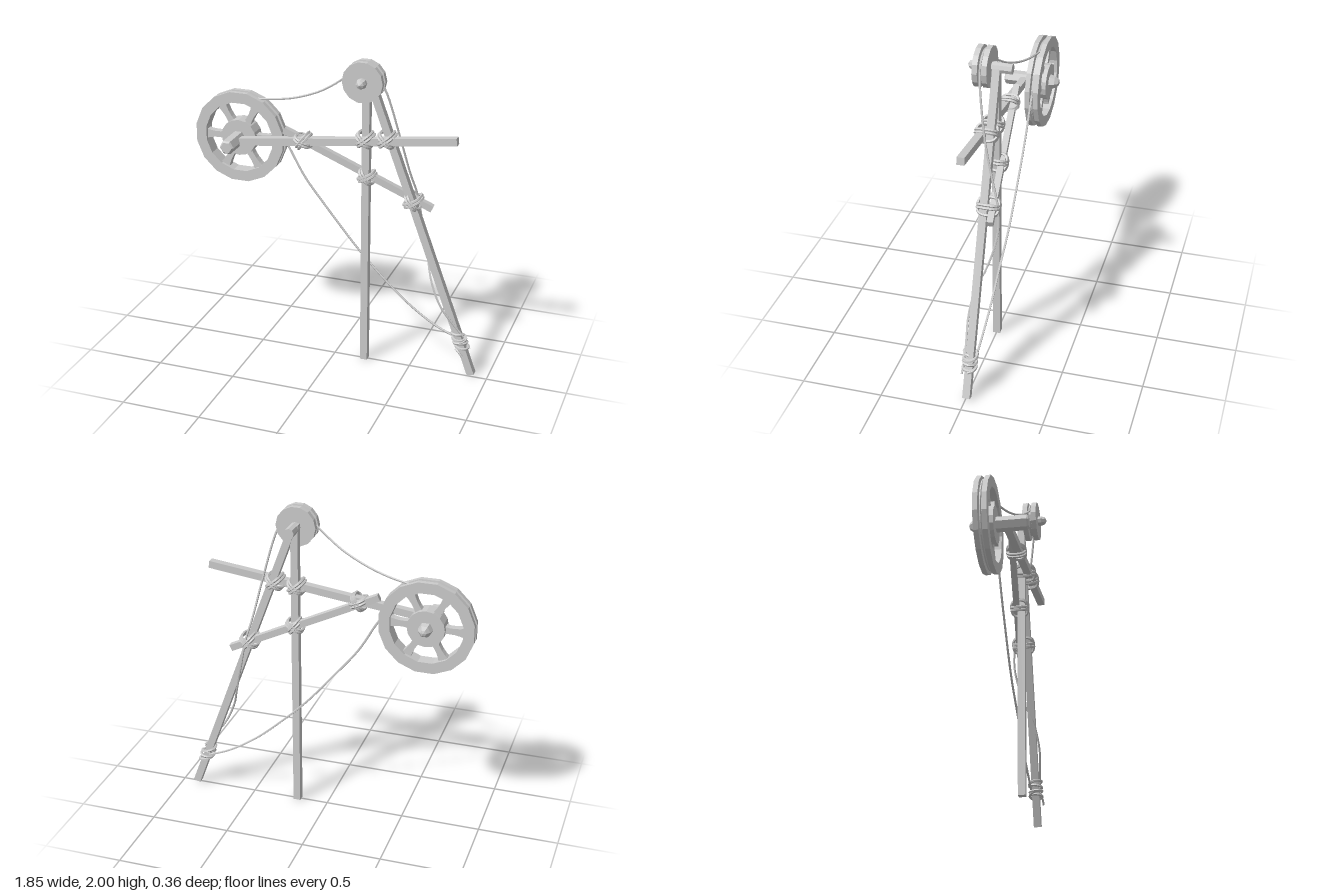
import * as THREE from 'three';

const V = (x, y, z) => new THREE.Vector3(x, y, z);

export function createModel() {
  const model = new THREE.Group();
  const mat = new THREE.MeshStandardMaterial({ color: 0xcccccc, flatShading: true });

  const add = (name, geo, parent = model) => {
    const mesh = new THREE.Mesh(geo, mat);
    mesh.name = name;
    parent.add(mesh);
    return mesh;
  };

  // Square timber running between two points
  const beam = (name, a, b, w = 0.046, d = 0.046) => {
    const m = add(name, new THREE.BoxGeometry(w, d, a.distanceTo(b)));
    m.position.copy(a).add(b).multiplyScalar(0.5);
    m.lookAt(b);
    return m;
  };

  // Turned part around the z axis from [radius, z] pairs
  const turned = (name, profile, sides, parent, turn = 0) => {
    const geo = new THREE.LatheGeometry(profile.map(([r, z]) => new THREE.Vector2(r, z)), sides);
    return add(name, geo.rotateY(turn).rotateX(Math.PI / 2), parent);
  };

  const rope = (name, pts, r = 0.007, closed = false, steps = 40) =>
    add(name, new THREE.TubeGeometry(new THREE.CatmullRomCurve3(pts, closed), steps, r, 5, closed));

  // Timber frame
  beam('post', V(0.2, 0, 0), V(0.2, 1.9, 0));
  beam('leg', V(0.9, 0.016, -0.008), V(0.215, 1.87, -0.008));
  beam('crossArm', V(-0.6, 1.395, 0.044), V(0.77, 1.565, 0.044));
  beam('brace', V(-0.32, 1.495, 0.018), V(0.6, 1.07, -0.072), 0.038, 0.042);

  // Large spoked wheel with a grooved rim
  const wheel = new THREE.Group();
  wheel.name = 'largeWheel';
  wheel.position.set(-0.64, 1.39, 0);
  model.add(wheel);
  turned('rim', [
    [0.225, -0.108], [0.293, -0.108], [0.293, -0.078], [0.262, -0.074], [0.262, -0.058],
    [0.293, -0.054], [0.293, -0.024], [0.225, -0.024], [0.225, -0.108],
  ], 16, wheel, Math.PI / 16);
  turned('hub', [[0, -0.115], [0.115, -0.115], [0.115, -0.018], [0, -0.018]], 16, wheel);
  turned('wheelAxle', [
    [0, -0.18], [0.02, -0.174], [0.038, -0.15], [0.046, -0.12], [0.046, 0.165], [0.036, 0.176], [0, 0.176],
  ], 6, wheel, Math.PI / 6);
  const spokeShape = new THREE.Shape();
  spokeShape.moveTo(0.1, -0.024);
  spokeShape.quadraticCurveTo(0.17, -0.01, 0.235, -0.034);
  spokeShape.lineTo(0.235, 0.034);
  spokeShape.quadraticCurveTo(0.17, 0.01, 0.1, 0.024);
  const spokeGeo = new THREE.ExtrudeGeometry(spokeShape, { depth: 0.044, bevelEnabled: false, curveSegments: 4 })
    .translate(0, 0, -0.088);
  for (let i = 0; i < 6; i++) add('spoke', spokeGeo, wheel).rotation.z = 0.03 + (i * Math.PI) / 3;

  // Small grooved pulley at the top
  const pulley = new THREE.Group();
  pulley.name = 'pulley';
  pulley.position.set(0.205, 1.876, 0);
  model.add(pulley);
  turned('sheave', [
    [0, 0.022], [0.125, 0.022], [0.125, 0.054], [0.095, 0.058], [0.095, 0.074],
    [0.125, 0.078], [0.125, 0.11], [0, 0.11],
  ], 14, pulley, Math.PI / 14);
  turned('pulleyAxle', [
    [0, -0.1], [0.032, -0.1], [0.032, 0.13], [0.024, 0.153], [0, 0.166],
  ], 8, pulley);

  // Rope lying in the grooves
  const groove = (name, cx, cy, z, r, from, to) => {
    const pts = [];
    for (let i = 0; i <= 16; i++) {
      const a = from + ((to - from) * i) / 16;
      pts.push(V(cx + r * Math.cos(a), cy + r * Math.sin(a), z));
    }
    rope(name, pts);
  };
  groove('wheelRopeWrap', -0.64, 1.39, -0.066, 0.268, 1.15, 6.28);
  groove('pulleyRopeWrap', 0.205, 1.876, 0.066, 0.102, 0.1, 2.9);

  // Hanging ropes
  rope('upperRope', [
    V(-0.53, 1.64, -0.066), V(-0.4, 1.66, -0.045), V(-0.26, 1.695, -0.015),
    V(-0.1, 1.76, 0.02), V(0, 1.82, 0.045), V(0.106, 1.90, 0.066),
  ]);
  rope('lowerRope', [
    V(-0.372, 1.42, -0.066), V(-0.33, 1.36, -0.066), V(-0.22, 1.17, -0.062), V(-0.08, 0.99, -0.06),
    V(0.13, 0.74, -0.055), V(0.3, 0.57, -0.045), V(0.47, 0.42, -0.04),
    V(0.65, 0.3, -0.035), V(0.8, 0.235, -0.035),
  ]);
  rope('hoistRope', [
    V(0.307, 1.886, 0.066), V(0.345, 1.8, 0.055), V(0.42, 1.5, 0.005), V(0.465, 1.28, -0.05),
    V(0.5, 1.14, -0.09), V(0.53, 0.97, -0.1), V(0.585, 0.76, -0.05), V(0.63, 0.62, 0.01),
    V(0.7, 0.47, 0.035), V(0.78, 0.36, 0.025), V(0.845, 0.28, 0.015),
  ]);

  // Crossed lashings: doubled rope loops around each joint, [x, y, back z, front z, tilt]
  const joints = [
    [-0.19, 1.445, -0.022, 0.08, 0.25],
    [0.2, 1.5, -0.036, 0.08, 0],
    [0.335, 1.515, -0.042, 0.08, 0],
    [0.2, 1.25, -0.06, 0.034, -0.2],
    [0.49, 1.12, -0.095, 0.028, -0.2],
  ];
  for (const [x, y, z0, z1, tilt] of joints) {
    for (const side of [-1, 1]) {
      for (const off of [-0.009, 0.009]) {
        const a = tilt + side * 0.68;
        const p = (u, z) => V(x + u * Math.cos(a) - off * Math.sin(a), y + u * Math.sin(a) + off * Math.cos(a), z);
        const e = 0.05;
        rope('lashing', [
          p(-e, z0 + 0.02), p(-e, z1 - 0.02), p(-0.03, z1), p(0.03, z1),
          p(e, z1 - 0.02), p(e, z0 + 0.02), p(0.03, z0), p(-0.03, z0),
        ], 0.0095, true, 28);
      }
    }
  }

  // Rope coiled around the foot of the leg, with a loose tail
  const coil = [];
  for (let i = 0; i <= 40; i++) {
    const a = (i / 8) * Math.PI * 2;
    const t = i / 40;
    coil.push(V(0.802 + 0.037 * t + 0.04 * Math.cos(a), 0.285 - 0.1 * t + 0.012 * Math.sin(a * 0.7), -0.008 + 0.04 * Math.sin(a)));
  }
  rope('footCoil', coil, 0.009, false, 120);
  rope('coilTail', [V(0.8, 0.19, 0.02), V(0.825, 0.175, 0.035), V(0.85, 0.145, 0.037)], 0.007, false, 8);

  return model;
}
